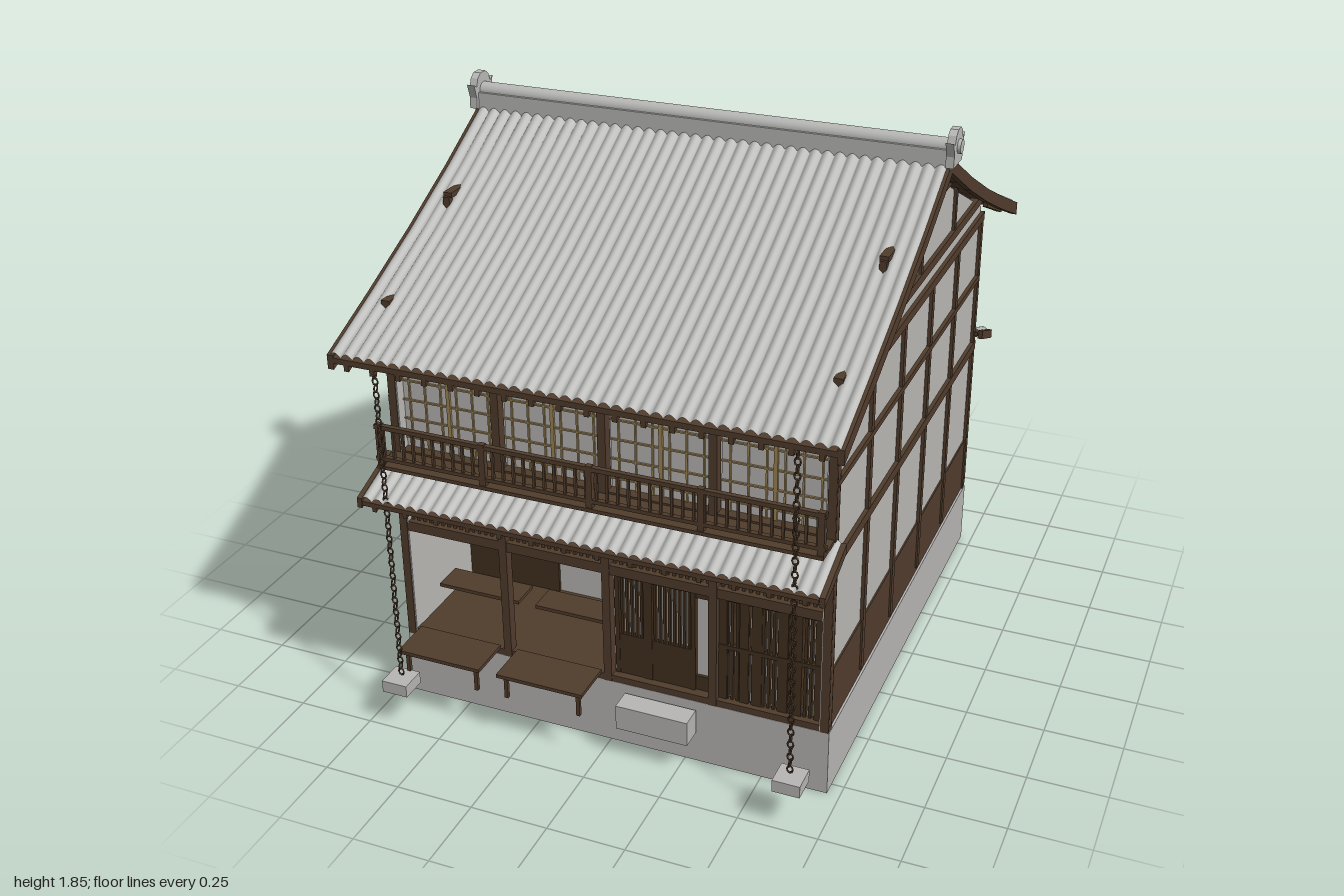
import * as THREE from 'three';

const mat = (name, color, extra = {}) => new THREE.MeshStandardMaterial({ name, color, ...extra });
const M = {
  plaster: mat('plaster', 0xbab8b5),
  stone: mat('stone', 0xb7b6b4),
  tile: mat('roofTile', 0xb9b9b7, { side: THREE.DoubleSide }),
  wood: mat('timber', 0x503c2c),
  dark: mat('darkTimber', 0x42301f),
  gold: mat('paleLattice', 0x9c8455),
};

function add(parent, name, geo, material) {
  const m = new THREE.Mesh(geo, material);
  m.name = name;
  parent.add(m);
  return m;
}

// Box given by its limits on each axis
function box(parent, name, material, x0, x1, y0, y1, z0, z1) {
  const m = add(parent, name, new THREE.BoxGeometry(x1 - x0, y1 - y0, z1 - z0), material);
  m.position.set((x0 + x1) / 2, (y0 + y1) / 2, (z0 + z1) / 2);
  return m;
}

// Outline in (z, y) extruded along x, centred on cx
function slab(parent, name, material, pts, width, cx = 0) {
  const shape = new THREE.Shape(pts.map(p => new THREE.Vector2(p[0], p[1])));
  const geo = new THREE.ExtrudeGeometry(shape, { depth: width, bevelEnabled: false });
  geo.rotateY(-Math.PI / 2).translate(cx + width / 2, 0, 0);
  return add(parent, name, geo, material);
}

// Board following a roof profile, hanging below it
function band(parent, name, material, prof, drop, thick, width, cx = 0) {
  const top = prof.map(([z, y]) => [z, y - drop]);
  const low = prof.map(([z, y]) => [z, y - drop - thick]).reverse();
  return slab(parent, name, material, [...top, ...low], width, cx);
}

// Ribbed tile sheet laid along a roof profile
function tiles(parent, name, prof, width, ribs, height) {
  const seg = 6, cols = ribs * seg;
  const geo = new THREE.PlaneGeometry(width, 1, cols, prof.length - 1);
  const p = geo.attributes.position;
  for (let i = 0; i < p.count; i++) {
    const [z, y] = prof[Math.floor(i / (cols + 1))];
    const t = ((i % (cols + 1)) % seg) / seg;
    p.setXYZ(i, p.getX(i), y + height * Math.sin(Math.PI * t), z);
  }
  geo.computeVertexNormals();
  return add(parent, name, geo, M.tile);
}

// Row of evenly spaced vertical bars
function bars(parent, name, material, x0, x1, n, w, y0, y1, z0, z1) {
  for (let i = 0; i < n; i++) {
    const x = x0 + (x1 - x0) * (i + 0.5) / n;
    box(parent, name, material, x - w / 2, x + w / 2, y0, y1, z0, z1);
  }
}

// Paper screen with a grid of thin strips
function screen(parent, name, strip, x0, x1, y0, y1, z, nx, ny, w = 0.005) {
  box(parent, name + 'Paper', M.plaster, x0, x1, y0, y1, z - 0.01, z);
  bars(parent, name + 'Strip', strip, x0, x1, nx, w, y0, y1, z, z + 0.006);
  for (let j = 0; j < ny; j++) {
    const y = y0 + (y1 - y0) * (j + 0.5) / ny;
    box(parent, name + 'Rail', strip, x0, x1, y - w / 2, y + w / 2, z, z + 0.006);
  }
}

const POSTS = [-0.695, -0.35, -0.005, 0.34, 0.695];
const ROOF = [[0, 1.75], [0.25, 1.612], [0.5, 1.487], [0.75, 1.373], [0.985, 1.272]];

// One slope of the main roof, facing +z
function mainSlope() {
  const g = new THREE.Group();
  g.name = 'mainRoofSlope';
  tiles(g, 'mainRoofTiles', ROOF, 1.55, 40, 0.014);
  band(g, 'roofBoarding', M.wood, ROOF, 0.003, 0.018, 1.53);
  for (const s of [-1, 1]) band(g, 'bargeBoard', M.wood, ROOF, -0.004, 0.045, 0.02, s * 0.772);
  for (let i = 0; i < 18; i++)
    band(g, 'rafter', M.wood, ROOF.slice(3), 0.02, 0.02, 0.016, -0.72 + i * 1.44 / 17);
  return g;
}

// Small roof between the storeys, facing +z
function pentRoof(prof) {
  const g = new THREE.Group();
  g.name = 'pentRoof';
  tiles(g, 'pentRoofTiles', prof, 1.45, 38, 0.013);
  band(g, 'pentBoarding', M.wood, prof, 0.003, 0.015, 1.44);
  for (const s of [-1, 1]) band(g, 'pentEndBoard', M.wood, prof, -0.005, 0.032, 0.016, s * 0.73);
  for (let i = 0; i < 14; i++)
    band(g, 'pentRafter', M.wood, prof, 0.018, 0.014, 0.014, -0.68 + i * 1.36 / 13);
  return g;
}

// Gable wall with its timber frame; s is the side of x
function gable(s) {
  const g = new THREE.Group();
  g.name = 'gableWall';
  slab(g, 'gablePlaster', M.plaster, [[-0.795, 0.22], [0.795, 0.22], [0.795, 1.32], [0.39, 1.515],
    [0, 1.715], [-0.39, 1.515], [-0.795, 1.32]], 0.02, s * 0.688);
  const bar = (name, m, y0, y1, z0, z1, out) =>
    box(g, name, m, s * 0.697 - out, s * 0.697 + out, y0, y1, z0, z1);
  bar('lowerBoarding', M.wood, 0.22, 0.42, -0.8, 0.795, 0.006);
  for (const z of [-0.79, -0.478, -0.162, 0.153, 0.468, 0.783])
    bar('gablePost', M.wood, 0.24, 1.28, z - 0.013, z + 0.013, 0.012);
  for (const [y, h, z] of [[1.285, 0.03, 0.803], [1.06, 0.02, 0.795], [0.796, 0.034, 0.803],
    [1.365, 0.03, 0.79], [1.574, 0.016, 0.395]])
    bar('gableBeam', M.wood, y - h / 2, y + h / 2, -z, z, 0.014);
  for (const [z, top] of [[-0.395, 1.57], [0, 1.72], [0.395, 1.57]])
    bar('gableStrut', M.wood, 1.37, top, z - 0.01, z + 0.01, 0.011);
  return g;
}

function frontFace(g) {
  for (const x of POSTS) box(g, 'frontPost', M.wood, x - 0.013, x + 0.013, 0.22, 1.29, 0.765, 0.798);
  for (const [y0, y1] of [[0.22, 0.242], [0.605, 0.638], [0.775, 0.8], [1.222, 1.25], [0.86, 0.89]])
    box(g, 'frontBeam', M.wood, -0.705, 0.705, y0, y1, 0.76, 0.795);
  box(g, 'upperFrontWall', M.plaster, -0.69, 0.69, 0.79, 1.33, 0.735, 0.745);
  for (let i = 0; i < 4; i++) {
    const a = POSTS[i] + 0.013, b = POSTS[i + 1] - 0.013, mid = (a + b) / 2;
    screen(g, 'upperScreen', M.gold, a, b, 0.89, 1.21, 0.76, 6, 5);
    box(g, 'screenStile', M.gold, mid - 0.006, mid + 0.006, 0.89, 1.21, 0.76, 0.768);
    // Slatted transom above the ground floor
    box(g, 'transomPanel', M.plaster, a, b, 0.638, 0.775, 0.745, 0.755);
    bars(g, 'transomSlat', M.wood, a, b, 15, 0.01, 0.638, 0.775, 0.762, 0.778);
  }
  // Balcony
  box(g, 'balconyFloor', M.wood, -0.705, 0.705, 0.872, 0.884, 0.79, 0.895);
  for (const [y, h] of [[1.01, 0.014], [0.905, 0.012]])
    box(g, 'balconyRail', M.wood, -0.71, 0.71, y - h / 2, y + h / 2, 0.874, 0.89);
  bars(g, 'baluster', M.wood, -0.7, 0.7, 42, 0.008, 0.905, 1.01, 0.878, 0.886);
  for (const x of POSTS) box(g, 'balconyPost', M.wood, x - 0.01, x + 0.01, 0.875, 1.02, 0.873, 0.891);

  // Open shop room with shelves
  box(g, 'shopFloor', M.wood, -0.68, 0, 0.22, 0.24, 0.4, 0.77);
  box(g, 'shopBackWall', M.plaster, -0.68, 0, 0.24, 0.8, 0.4, 0.42);
  box(g, 'shopBackBoard', M.dark, -0.68, -0.35, 0.24, 0.58, 0.42, 0.43);
  box(g, 'shopPartition', M.plaster, -0.005, 0.005, 0.24, 0.8, 0.4, 0.765);
  for (const [x0, x1] of [[-0.665, -0.38], [-0.32, -0.03]]) {
    box(g, 'lowerShelf', M.wood, x0, x1, 0.322, 0.334, 0.56, 0.66);
    box(g, 'upperShelf', M.wood, x0, x1, 0.42, 0.432, 0.43, 0.53);
    box(g, 'benchTop', M.wood, x0, x1, 0.238, 0.25, 0.79, 0.935);
    for (const x of [x0 + 0.025, x1 - 0.02])
      box(g, 'benchLeg', M.wood, x - 0.006, x + 0.006, 0.16, 0.24, 0.91, 0.922);
  }
  // Sliding entrance doors
  box(g, 'entrancePanel', M.plaster, 0.008, 0.33, 0.24, 0.61, 0.745, 0.755);
  for (const [x0, x1] of [[0.012, 0.12], [0.12, 0.275]]) {
    box(g, 'doorLower', M.dark, x0, x1 - 0.003, 0.242, 0.385, 0.755, 0.77);
    box(g, 'doorTopRail', M.dark, x0, x1, 0.588, 0.605, 0.755, 0.772);
    for (const x of [x0, x1 - 0.014]) box(g, 'doorStile', M.dark, x, x + 0.014, 0.242, 0.605, 0.755, 0.772);
    bars(g, 'doorSlat', M.dark, x0 + 0.014, x1 - 0.014, Math.round((x1 - x0) / 0.02), 0.008, 0.385, 0.59, 0.757, 0.768);
  }
  box(g, 'entranceSill', M.dark, 0.275, 0.33, 0.242, 0.292, 0.755, 0.765);
  box(g, 'entranceHead', M.dark, 0.275, 0.33, 0.57, 0.588, 0.755, 0.765);
  // Slatted window wall
  box(g, 'latticePanel', M.plaster, 0.35, 0.685, 0.24, 0.61, 0.745, 0.755);
  bars(g, 'latticeSlat', M.dark, 0.353, 0.682, 20, 0.009, 0.242, 0.605, 0.76, 0.775);
  for (const x of [0.365, 0.433, 0.475, 0.556, 0.6, 0.67])
    box(g, 'latticeStile', M.dark, x - 0.014, x + 0.014, 0.242, 0.605, 0.758, 0.778);
  for (const y of [0.43, 0.6]) box(g, 'latticeRail', M.dark, 0.353, 0.682, y - 0.007, y + 0.007, 0.758, 0.78);
}

// Built facing +z, then turned round by its group
function backFace(g) {
  box(g, 'backPlaster', M.plaster, -0.69, 0.69, 0.22, 1.33, 0.77, 0.788);
  for (const x of POSTS) box(g, 'backPost', M.wood, -x - 0.013, -x + 0.013, 0.22, 1.3, 0.775, 0.803);
  for (const [y, h] of [[0.232, 0.024], [0.595, 0.022], [0.796, 0.03], [1.085, 0.02], [1.285, 0.03]])
    box(g, 'backBeam', M.wood, -0.705, 0.705, y - h / 2, y + h / 2, 0.775, 0.8);
  screen(g, 'backDoorScreen', M.dark, -0.325, -0.01, 0.244, 0.584, 0.795, 6, 6, 0.008);
  // Boarded door
  box(g, 'backDoor', M.dark, 0.363, 0.682, 0.244, 0.584, 0.78, 0.797);
  for (const x of [0.37, 0.522, 0.675]) box(g, 'backDoorStile', M.wood, x - 0.007, x + 0.007, 0.244, 0.584, 0.795, 0.803);
  for (const y of [0.25, 0.36, 0.47, 0.578]) box(g, 'backDoorRail', M.wood, 0.363, 0.682, y - 0.006, y + 0.006, 0.795, 0.802);
  // Upper window
  screen(g, 'backWindow', M.gold, 0.03, 0.31, 0.99, 1.18, 0.803, 6, 4);
  for (const y of [0.985, 1.18]) box(g, 'windowRail', M.wood, 0.015, 0.325, y - 0.009, y + 0.009, 0.785, 0.818);
  for (const x of [0.03, 0.31]) box(g, 'windowStile', M.wood, x - 0.008, x + 0.008, 0.985, 1.18, 0.785, 0.814);
}

function ridge(g) {
  box(g, 'ridgeBase', M.tile, -0.785, 0.785, 1.73, 1.79, -0.036, 0.036);
  const cap = add(g, 'ridgeCap', new THREE.CylinderGeometry(0.027, 0.027, 1.57, 14), M.tile);
  cap.rotation.z = Math.PI / 2;
  cap.position.y = 1.79;
  const half = [[0.05, 1.74], [0.048, 1.775], [0.062, 1.82], [0.045, 1.81], [0.035, 1.835], [0.016, 1.849]];
  const outline = [...half, ...half.map(([z, y]) => [-z, y]).reverse()];
  for (const s of [-1, 1]) {
    slab(g, 'ridgeEndTile', M.tile, outline, 0.025, s * 0.783);
    const disc = add(g, 'ridgeEndDisc', new THREE.CylinderGeometry(0.022, 0.022, 0.02, 14), M.tile);
    disc.rotation.z = Math.PI / 2;
    disc.position.set(s * 0.796, 1.795, 0);
  }
}

export function createModel() {
  const g = new THREE.Group();
  g.name = 'townHouse';

  // Hollow foundation, open underneath
  for (const s of [-1, 1]) {
    box(g, 'foundationSide', M.stone, s * 0.7 - 0.01, s * 0.7 + 0.01, 0, 0.22, -0.805, 0.796);
    box(g, 'foundationEnd', M.stone, -0.69, 0.69, 0, 0.22, s * 0.79 - 0.01, s * 0.79 + 0.006);
    g.add(gable(s));
  }
  box(g, 'foundationTop', M.stone, -0.7, 0.7, 0.2, 0.22, -0.795, 0.79);

  frontFace(g);
  const back = new THREE.Group();
  back.name = 'backWall';
  back.rotation.y = Math.PI;
  backFace(back);
  const backRoof = mainSlope();
  backRoof.scale.z = 1.01;
  back.add(backRoof, pentRoof([[0.785, 0.855], [0.94, 0.795]]));
  g.add(back, mainSlope(), pentRoof([[0.785, 0.868], [0.97, 0.798]]));
  ridge(g);

  // Stepping stone, rain chains and their stones
  box(g, 'steppingStone', M.stone, 0.055, 0.29, 0.112, 0.195, 0.806, 0.877);
  for (const s of [-1, 1]) {
    box(g, 'chainStone', M.stone, s * 0.648 - 0.043, s * 0.648 + 0.043, 0.13, 0.17, 0.915, 1);
    for (let i = 0; i < 48; i++) {
      const link = add(g, 'chainLink', new THREE.TorusGeometry(0.009, 0.003, 4, 8), M.wood);
      link.position.set(s * 0.645, 0.19 + i * 0.022, 0.957);
      link.scale.y = 1.3;
      link.rotation.y = i % 2 ? Math.PI / 2 : 0;
    }
  }
  return g;
}
